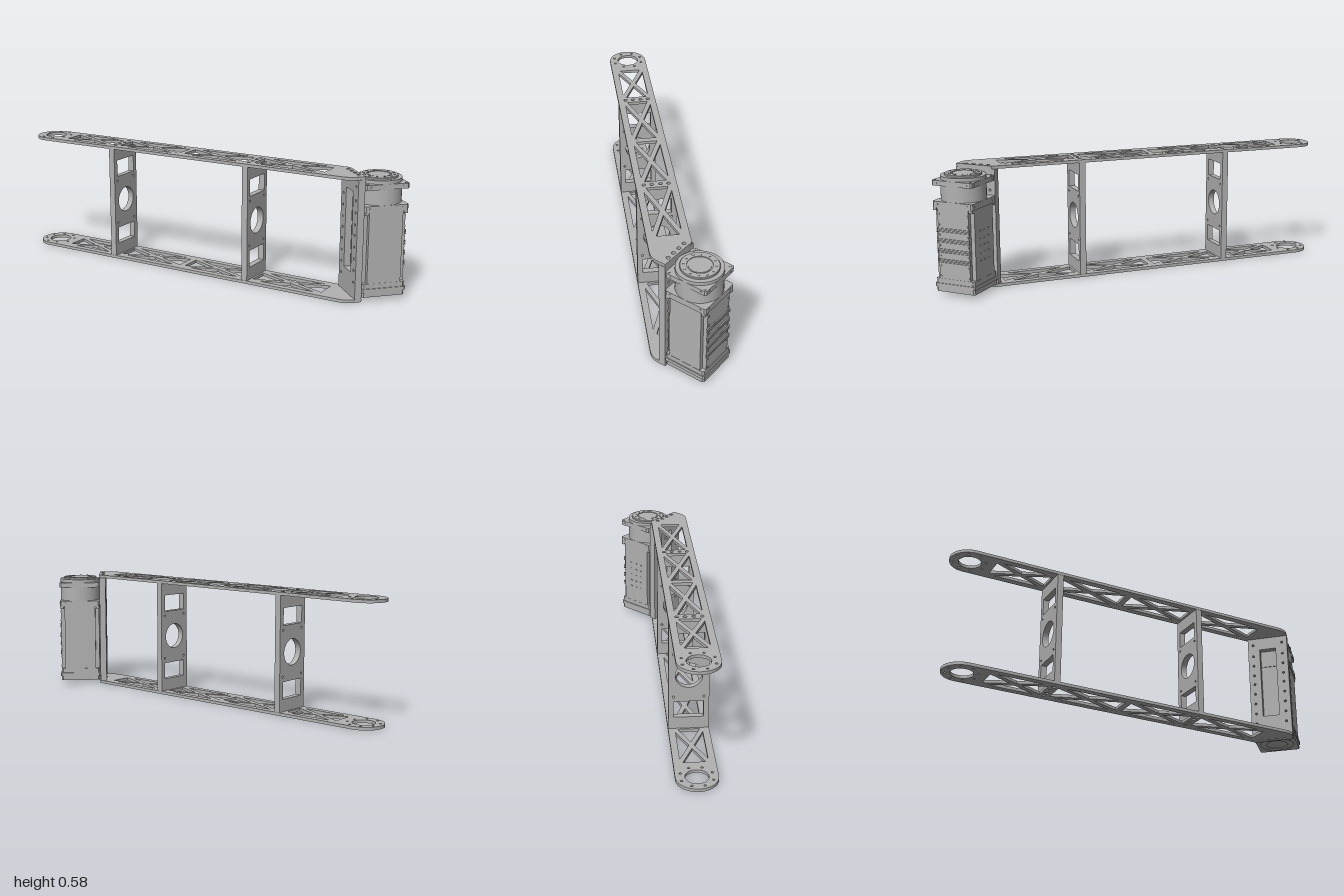
import * as THREE from 'three';

const metal = new THREE.MeshStandardMaterial({ color: 0xb2b2b2 });
metal.name = 'plainGrey';

function add(parent, name, geo, x = 0, y = 0, z = 0) {
  const m = new THREE.Mesh(geo, metal);
  m.name = name;
  m.position.set(x, y, z);
  parent.add(m);
  return m;
}
const polygon = (pts) => new THREE.Shape(pts.map((p) => new THREE.Vector2(p[0], p[1])));
const rect = (x0, y0, x1, y1) => polygon([[x0, y0], [x1, y0], [x1, y1], [x0, y1]]);
function circle(x, y, r) {
  const p = new THREE.Path();
  p.absarc(x, y, r, 0, Math.PI * 2);
  return p;
}
const extrude = (shape, depth, segs = 12) =>
  new THREE.ExtrudeGeometry(shape, { depth, bevelEnabled: false, curveSegments: segs });
// Extrude upward: shape (x, y) becomes (x, -z)
const slab = (shape, h, segs) => extrude(shape, h, segs).rotateX(-Math.PI / 2);

// Side plate of the arm, in arm axes with the round eye at the origin
function armPlate() {
  const R = 0.095;
  const s = new THREE.Shape();
  s.moveTo(0, R);
  s.absarc(0, 0, R, Math.PI / 2, Math.PI * 1.5, false);
  s.lineTo(1.665, -R);
  s.quadraticCurveTo(1.71, -R, 1.737, -0.063);
  s.lineTo(1.759, -0.039);
  s.lineTo(1.625, R);
  s.closePath();
  s.holes.push(circle(0, 0, 0.053));
  for (let i = 0; i < 8; i++) {
    const a = ((i + 0.5) * Math.PI) / 4;
    s.holes.push(circle(Math.cos(a) * 0.075, Math.sin(a) * 0.075, 0.006));
  }
  // Cross-braced bays: four triangles each
  const h = 0.063, c = 0.012;
  for (const [a, b] of [[0.115, 0.395], [0.445, 0.79], [0.82, 1.155], [1.205, 1.565]]) {
    const m = (a + b) / 2, k = c * (b - a) / (2 * h);
    s.holes.push(polygon([[a, c - h], [a, h - c], [m - k, 0]]));
    s.holes.push(polygon([[b, c - h], [b, h - c], [m + k, 0]]));
    for (const q of [1, -1]) s.holes.push(polygon([[a + k, q * h], [b - k, q * h], [m, q * c]]));
  }
  // Screw holes over the ribs and along the mount
  for (const x of [0.42, 1.18])
    for (const t of [-0.057, -0.02, 0.02, 0.057]) s.holes.push(circle(x, t, 0.009));
  for (let i = 0; i < 4; i++) s.holes.push(circle(1.63 + i * 0.0287, 0.06 - i * 0.0267, 0.009));
  return slab(s, 0.0145, 12);
}

// Upright rib between the plates
function ribGeometry() {
  const s = rect(-0.094, 0.016, 0.094, 0.57);
  s.holes.push(circle(0, 0.294, 0.0625));
  for (const y of [0.077, 0.425]) s.holes.push(rect(-0.069, y, 0.069, y + 0.082));
  for (const y of [0.183, 0.402]) for (const x of [-0.07, 0.07]) s.holes.push(circle(x, y, 0.0055));
  return extrude(s, 0.03, 20).translate(0, 0, -0.015).rotateY(Math.PI / 2);
}

// Square with notched corners
function notched(r, n) {
  const i = r - n;
  return polygon([[-i, -r], [i, -r], [i, -i], [r, -i], [r, i], [i, i],
    [i, r], [-i, r], [-i, i], [-r, i], [-r, -i], [-i, -i]]);
}
// Square with small chamfers
function chamfered(r, n) {
  const i = r - n;
  return polygon([[-i, -r], [i, -r], [r, -i], [r, i], [i, r], [-i, r], [-r, i], [-r, -i]]);
}

function buildArm() {
  const arm = new THREE.Group();
  arm.name = 'arm';
  arm.position.set(-0.905, 0, 0.129);
  arm.rotation.y = 0.0542;
  const plate = armPlate();
  add(arm, 'lowerPlate', plate, 0, 0.0036, 0).rotation.z = -0.002;
  add(arm, 'upperPlate', plate, 0, 0.567, 0).rotation.z = 0.002;
  const rib = ribGeometry();
  for (const x of [0.42, 1.18]) add(arm, 'rib', rib, x, 0, 0);
  return arm;
}

function buildMotor() {
  const g = new THREE.Group();
  g.name = 'motor';
  g.position.set(0.847, 0, -0.073);
  g.rotation.y = -0.724;

  // Mount plate joining the motor to the arm
  const mount = rect(-0.103, 0.015, 0.103, 0.57);
  mount.holes.push(rect(-0.042, 0.128, 0.042, 0.505));
  for (const y of [0.09, 0.145, 0.2, 0.255, 0.31, 0.36, 0.415, 0.47, 0.535])
    for (const x of [-0.076, 0.076]) mount.holes.push(circle(x, y, 0.006));
  add(g, 'mountPlate', extrude(mount, 0.032), 0, 0, 0.106);

  // Housing
  add(g, 'housing', slab(notched(0.101, 0.02), 0.345), 0, 0.075, 0);
  add(g, 'baseBlock', slab(chamfered(0.102, 0.008), 0.063), 0, 0.02, 0);
  add(g, 'baseRim', slab(chamfered(0.106, 0.006), 0.017), 0, 0.043, 0);
  add(g, 'topFlange', slab(chamfered(0.105, 0.007), 0.03), 0, 0.417, 0);
  const ear = new THREE.BoxGeometry(0.018, 0.014, 0.018);
  for (const x of [-1, 1]) for (const z of [-1, 1]) add(g, 'flangeEar', ear, x * 0.094, 0.412, z * 0.094);

  // Gear head and output disc
  add(g, 'gearHead', new THREE.CylinderGeometry(0.105, 0.105, 0.113, 48), 0, 0.5035, 0);
  add(g, 'headFlange', slab(chamfered(0.105, 0.007), 0.024), 0, 0.52, 0);
  const disc = [[0.086, 0.555], [0.086, 0.567], [0.084, 0.569], [0.056, 0.569], [0.056, 0.565],
    [0.05, 0.565], [0.05, 0.568], [0, 0.568]].map((p) => new THREE.Vector2(p[0], p[1]));
  // Split the profile so its edges stay sharp
  for (let i = 0; i < disc.length - 1; i++)
    add(g, 'outputDisc', new THREE.LatheGeometry([disc[i], disc[i + 1]], 40));
  const bolt = new THREE.CylinderGeometry(0.0055, 0.0055, 0.003, 10);
  for (let i = 0; i < 12; i++) {
    const a = (i * Math.PI) / 6;
    add(g, 'discBolt', bolt, Math.cos(a) * 0.07, 0.5695, Math.sin(a) * 0.07);
  }
  for (const x of [-1, 1]) for (const z of [-1, 1]) add(g, 'cornerBolt', bolt, x * 0.092, 0.5445, z * 0.092);

  // Ring under the base
  const ring = new THREE.Shape();
  ring.absarc(0, 0, 0.085, 0, Math.PI * 2);
  ring.holes.push(circle(0, 0, 0.055));
  add(g, 'baseRing', slab(ring, 0.004, 24), 0, 0.017, 0);

  // Cooling fins and screws on the back face
  for (const y of [0.167, 0.215, 0.263, 0.313])
    for (const d of [-0.008, 0, 0.008])
      add(g, 'fin', new THREE.BoxGeometry(0.172, 0.004, 0.006), 0, y + d, -0.103);
  const screw = new THREE.CylinderGeometry(0.005, 0.005, 0.004, 10).rotateX(Math.PI / 2);
  for (let i = 0; i < 7; i++)
    for (const x of [-0.074, 0.074]) add(g, 'housingScrew', screw, x, 0.095 + i * 0.0488, -0.102);

  // Flange screws on the three open sides
  for (const a of [Math.PI, Math.PI / 2, -Math.PI / 2]) {
    const side = new THREE.Group();
    side.name = 'flangeScrews';
    side.rotation.y = a;
    for (const y of [0.434, 0.532]) for (const x of [-0.078, 0.078]) add(side, 'flangeScrew', screw, x, y, 0.105);
    g.add(side);
  }

  // Small raised tabs on the inner side face
  const tab = new THREE.BoxGeometry(0.003, 0.005, 0.01);
  for (let i = 0; i < 5; i++)
    for (const z of [-0.035, 0, 0.035]) add(g, 'tab', tab, -0.102, 0.17 + i * 0.035, z);
  return g;
}

export function createModel() {
  const model = new THREE.Group();
  model.name = 'linkArm';
  model.add(buildArm(), buildMotor());
  return model;
}
